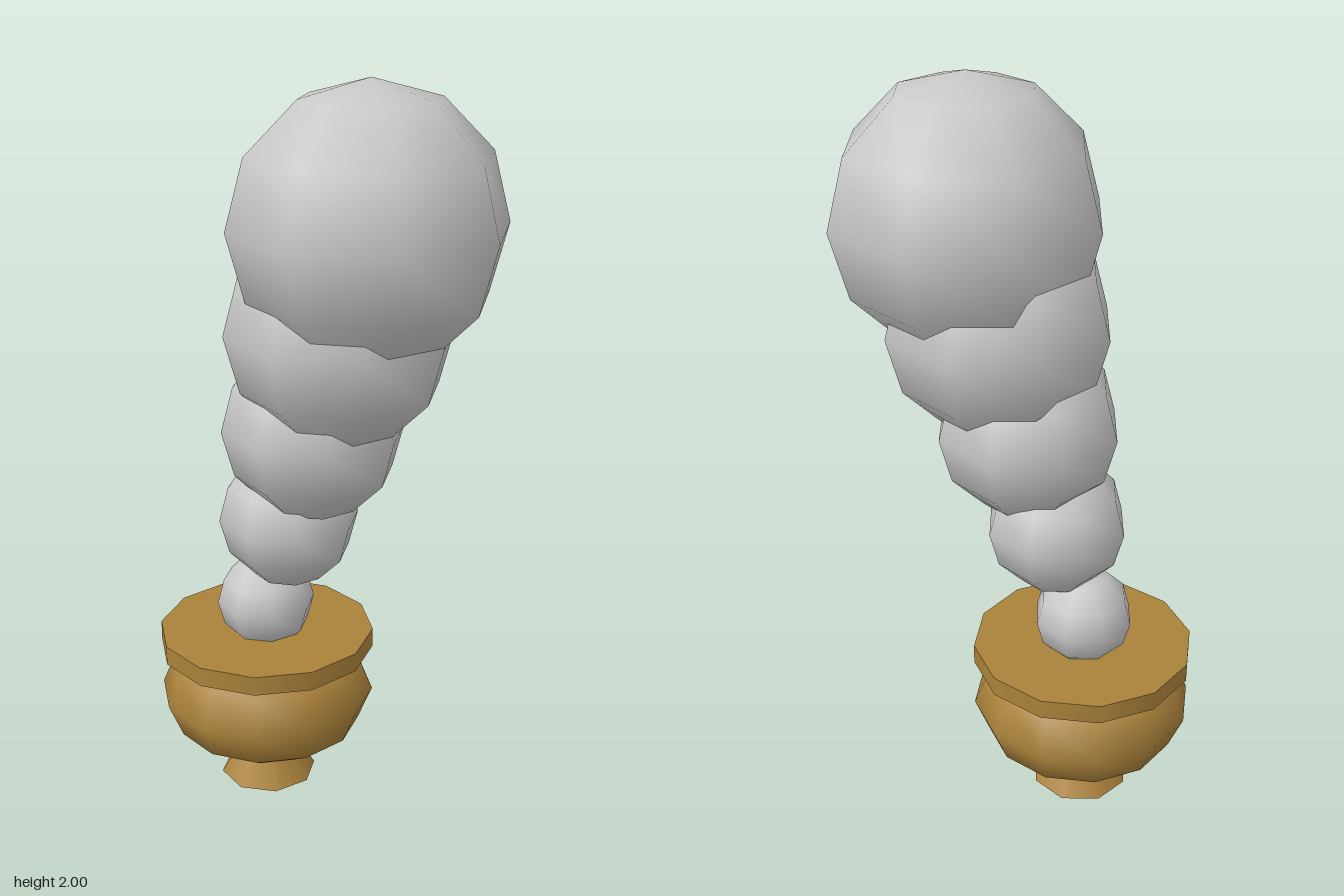
import * as THREE from 'three';

const silver = new THREE.MeshStandardMaterial({ color: 0xc8c8c8 });
silver.name = 'silver';
const gold = new THREE.MeshStandardMaterial({ color: 0xaa823b });
gold.name = 'gold';

const BASE_X = -0.192;

function addMesh(parent, name, geometry, material, x, y) {
  const mesh = new THREE.Mesh(geometry, material);
  mesh.name = name;
  mesh.position.set(x, y, 0);
  parent.add(mesh);
  return mesh;
}

export function createModel() {
  const model = new THREE.Group();
  model.name = 'urnWithPlume';

  // Urn: flared foot, squashed bowl and flat rim
  const urn = new THREE.Group();
  urn.name = 'urn';
  model.add(urn);
  addMesh(urn, 'foot', new THREE.CylinderGeometry(0.067, 0.136, 0.104, 8), gold, BASE_X, 0.052);
  const bowl = addMesh(urn, 'bowl', new THREE.SphereGeometry(0.301, 12, 6), gold, BASE_X, 0.275);
  bowl.scale.y = 0.65;
  addMesh(urn, 'rim', new THREE.CylinderGeometry(0.301, 0.301, 0.054, 12), gold, BASE_X, 0.439);

  // Leaning plume of puffs that grow as they rise
  const plume = new THREE.Group();
  plume.name = 'plume';
  model.add(plume);
  for (let i = 0; i < 5; i++) {
    const puff = new THREE.SphereGeometry(0.136 + 0.0548 * i, 8, 6);
    addMesh(plume, 'puff' + (i + 1), puff, silver, BASE_X + 0.0825 * i, 0.55 + 0.2737 * i);
  }
  return model;
}
